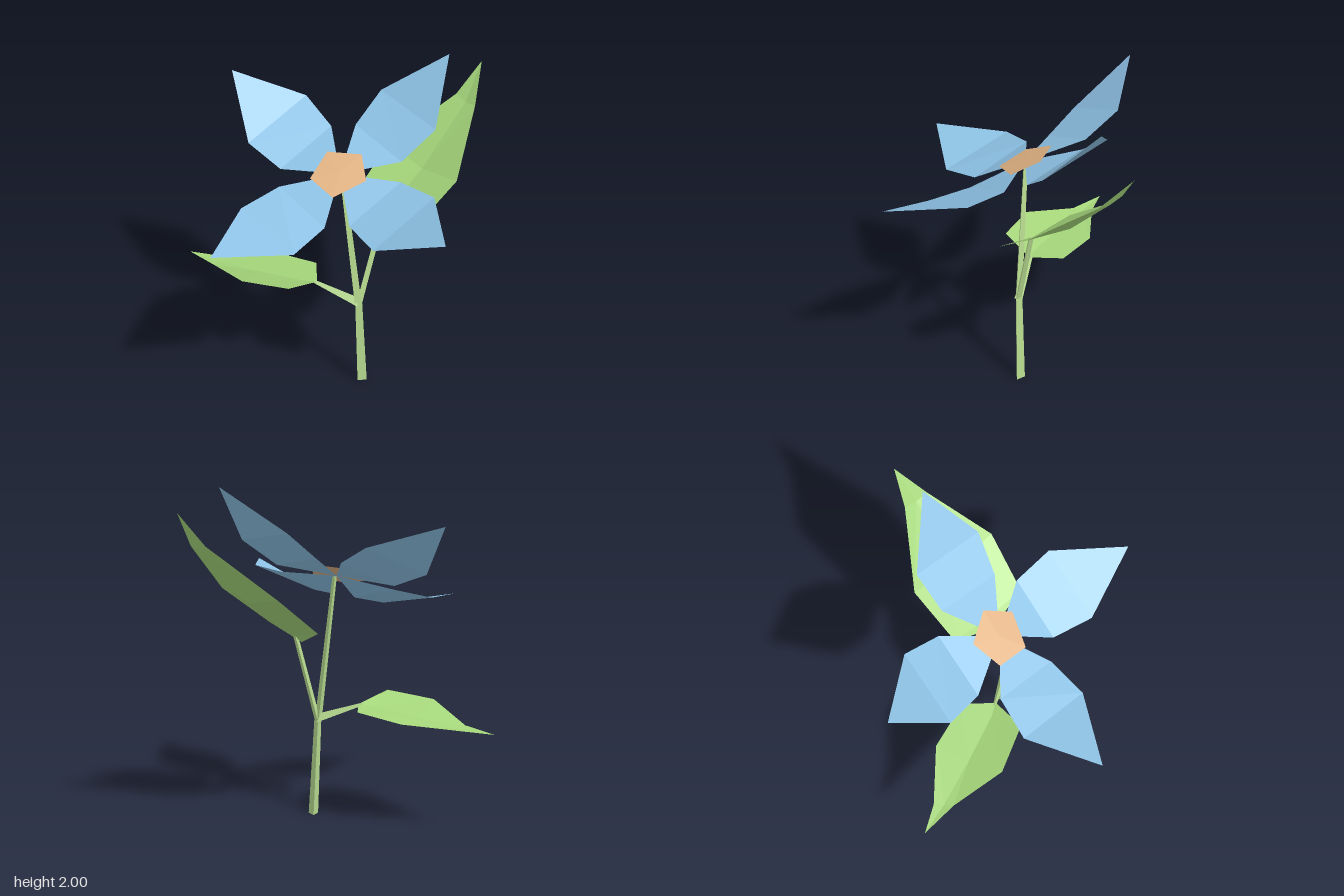
import * as THREE from 'three';

const material = (name, color) => {
  const m = new THREE.MeshStandardMaterial({ color, flatShading: true, side: THREE.DoubleSide });
  m.name = name;
  return m;
};

// Flat-faced mesh from a list of [a, b, c] corner triples
function facets(name, triangles, mat) {
  const geo = new THREE.BufferGeometry();
  geo.setAttribute('position', new THREE.Float32BufferAttribute(triangles.flat(2), 3));
  geo.computeVertexNormals();
  const mesh = new THREE.Mesh(geo, mat);
  mesh.name = name;
  return mesh;
}

// Three-sided tapering stalk between two points
function stalk(name, a, b, ra, rb, mat) {
  const ring = (p, r) => [0, 1, 2].map((i) => {
    const t = THREE.MathUtils.degToRad(8 + i * 120);
    return [p[0] + r * Math.cos(t), p[1], p[2] + r * Math.sin(t)];
  });
  const lo = ring(a, ra), hi = ring(b, rb);
  const tris = [[lo[0], lo[1], lo[2]], [hi[0], hi[2], hi[1]]];
  for (let i = 0; i < 3; i++) {
    const j = (i + 1) % 3;
    tris.push([lo[i], hi[i], hi[j]], [lo[i], hi[j], lo[j]]);
  }
  return facets(name, tris, mat);
}

// Six-cornered petal: root, two corners up one edge, tip, two corners up the other
function petal(name, root, [b, a, tip, c, d], mat) {
  return facets(name, [[root, d, b], [b, d, a], [a, d, c], [a, c, tip]], mat);
}

// Leaf with a sunken midrib; rows are [edge, opposite edge, sag]
function leaf(name, base, rows, tip, mat) {
  const full = rows.map(([l, r, sag]) => {
    const m = l.map((v, i) => (v + r[i]) / 2);
    m[1] -= sag;
    return [l, m, r];
  });
  const tris = [];
  for (let s = 0; s < 2; s++) {
    tris.push([base, full[0][s + 1], full[0][s]]);
    for (let i = 0; i < full.length - 1; i++) {
      const p = full[i], q = full[i + 1];
      tris.push([p[s], p[s + 1], q[s + 1]], [p[s], q[s + 1], q[s]]);
    }
    const last = full[full.length - 1];
    tris.push([last[s], last[s + 1], tip]);
  }
  return facets(name, tris, mat);
}

export function createModel() {
  const blue = material('petal blue', 0x8ec3e6);
  const green = material('leaf green', 0xa6d77b);
  const pale = material('stem green', 0xb8dc90);
  const tan = material('centre tan', 0xe2b383);
  const group = new THREE.Group();
  group.name = 'flower';

  // Stems
  const node = [0.262, 0.6, 0.025];
  group.add(
    stalk('mainStem', [0.29, 0, 0.012], node, 0.033, 0.024, pale),
    stalk('flowerStem', [0.262, 0.57, 0.027], [0.15, 1.45, 0.015], 0.024, 0.015, pale),
    stalk('upperLeafStem', [0.265, 0.58, 0.025], [0.357, 1.1, -0.085], 0.02, 0.017, pale),
  );

  // Side stalk: triangular section standing in the y-z plane
  const section = (x, y, z, r) => [[x, y + r, z], [x, y - r, z + r], [x, y - r, z - r]];
  const s0 = section(0.262, 0.595, 0.025, 0.025), s1 = section(-0.01, 0.695, 0.035, 0.009);
  const side = [];
  for (let i = 0; i < 3; i++) {
    const j = (i + 1) % 3;
    side.push([s0[i], s1[i], s1[j]], [s0[i], s1[j], s0[j]]);
  }
  group.add(facets('lowerLeafStem', side, pale));

  // Leaves
  group.add(
    leaf('upperLeaf', [0.325, 1.066, -0.07], [
      [[0.155, 1.155, -0.25], [0.57, 1.156, 0.03], 0.04],
      [[0.29, 1.383, -0.525], [0.767, 1.383, -0.205], 0.05],
      [[0.65, 1.685, -0.676], [0.78, 1.67, -0.585], 0.015],
    ], [0.772, 1.872, -0.765], green),
    leaf('lowerLeaf', [0.01, 0.695, 0.04], [
      [[-0.05, 0.69, -0.154], [-0.108, 0.75, 0.229], 0.035],
      [[-0.34, 0.66, -0.234], [-0.405, 0.722, 0.196], 0.035],
      [[-0.683, 0.627, -0.147], [-0.66, 0.635, -0.03], 0.008],
    ], [-0.865, 0.622, -0.147], green),
  );

  // Petals share one root under the centre
  const root = [0.14, 1.455, 0.02];
  const petals = {
    backLeftPetal: [[0.14, 1.595, -0.31], [0.245, 1.75, -0.48], [0.62, 2, -0.548], [0.622, 1.675, -0.24], [0.465, 1.52, -0.1]],
    backRightPetal: [[-0.22, 1.415, 0], [-0.44, 1.5, -0.09], [-0.627, 1.805, -0.37], [-0.19, 1.68, -0.42], [0, 1.574, -0.29]],
    frontRightPetal: [[0.137, 1.283, 0.326], [0.025, 1.225, 0.545], [-0.377, 1.272, 0.762], [-0.357, 1.31, 0.303], [-0.19, 1.373, 0.12]],
    frontLeftPetal: [[0.49, 1.463, 0.023], [0.71, 1.478, 0.149], [0.867, 1.463, 0.578], [0.455, 1.293, 0.482], [0.273, 1.304, 0.303]],
  };
  for (const [name, corners] of Object.entries(petals)) group.add(petal(name, root, corners, blue));

  // Five-sided flower centre
  const rim = [[0.03, 1.515, -0.1], [-0.022, 1.428, 0.07], [0.14, 1.39, 0.174], [0.3, 1.455, 0.05], [0.233, 1.53, -0.1]];
  const hub = [0.136, 1.466, 0.02];
  group.add(facets('flowerCentre', rim.map((p, i) => [hub, p, rim[(i + 1) % 5]]), tan));

  return group;
}
